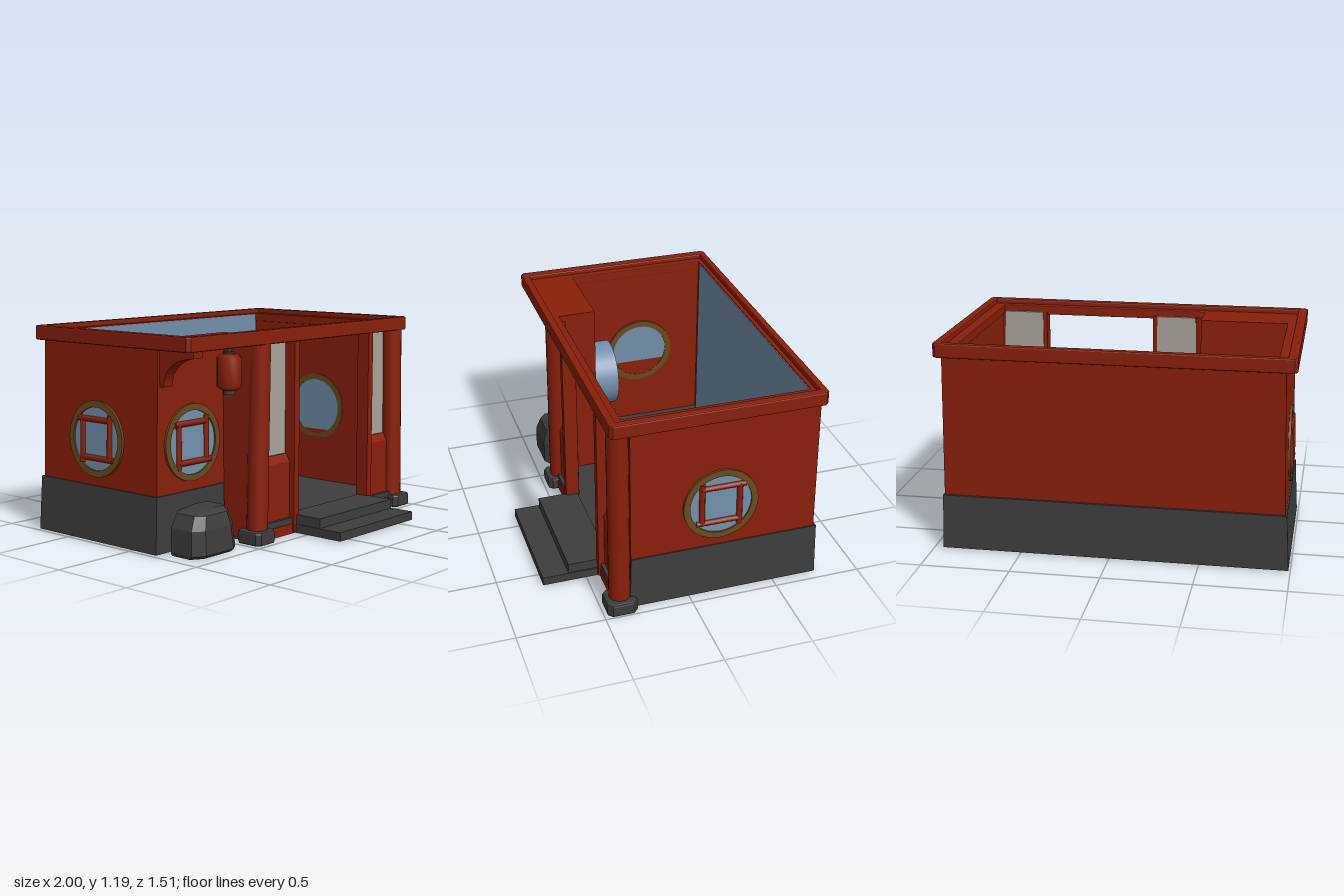
import * as THREE from 'three';

const mat = (name, color) => {
  const m = new THREE.MeshStandardMaterial({ color });
  m.name = name;
  return m;
};

export function createModel() {
  const root = new THREE.Group();
  root.name = 'shopGroundFloor';
  const red = mat('red wood', 0x8a1f09);
  const stone = mat('dark stone', 0x3d3d3d);
  const blue = mat('blue glass', 0x7390aa);
  const paper = mat('pale panel', 0xaaa29b);
  const gold = mat('bronze ring', 0x6b4a20);

  const add = (name, geo, material, parent = root) => {
    const mesh = new THREE.Mesh(geo, material);
    mesh.name = name;
    parent.add(mesh);
    return mesh;
  };

  // Block from a bottom rectangle to a top rectangle, each [x0, x1, z0, z1]
  const block = (name, m, y0, y1, bottom, top = bottom) => {
    const geo = new THREE.BoxGeometry(1, 1, 1).toNonIndexed();
    const p = geo.attributes.position;
    for (let i = 0; i < p.count; i++) {
      const up = p.getY(i) > 0;
      const r = up ? top : bottom;
      p.setXYZ(i, p.getX(i) > 0 ? r[1] : r[0], up ? y1 : y0, p.getZ(i) > 0 ? r[3] : r[2]);
    }
    geo.computeVertexNormals();
    return add(name, geo, m);
  };

  // Flat slab with cut corners and bevelled edges, optionally with a rectangular opening
  const slab = (name, m, y0, y1, [a, b, f, g], cut, bevel, hole) => {
    const points = list => list.map(([x, z]) => new THREE.Vector2(x, -z));
    const s = new THREE.Shape(points([[a, f + cut], [a, g - cut], [a + cut, g], [b - cut, g],
      [b, g - cut], [b, f + cut], [b - cut, f], [a + cut, f]]));
    if (hole) {
      const [c, d, h, k] = hole;
      s.holes.push(new THREE.Path(points([[c, h], [d, h], [d, k], [c, k]])));
    }
    const geo = new THREE.ExtrudeGeometry(s, {
      depth: y1 - y0 - 2 * bevel, bevelSize: bevel, bevelThickness: bevel, bevelOffset: -bevel, bevelSegments: 2,
    });
    add(name, geo.rotateX(-Math.PI / 2).translate(0, y0 + bevel, 0), m);
  };

  // Floor, with a recess for the porch at the front right corner of the shop
  block('floorMain', stone, 0.01, 0.1, [-0.95, 0.92, -0.73, 0.175]);
  block('floorFront', stone, 0.006, 0.1, [-0.42, 0.92, 0.175, 0.42]);

  // Leaning walls
  block('backWall', red, 0.1, 1.13, [-0.96, 0.93, -0.735, -0.69], [-0.94, 0.918, -0.73, -0.69]);
  block('rightWall', red, 0.1, 1.13, [-0.968, -0.9, -0.735, 0.175], [-0.94, -0.9, -0.73, 0.17]);
  block('leftWall', red, 0.1, 1.13, [0.86, 0.934, -0.735, 0.336], [0.86, 0.918, -0.73, 0.336]);
  block('porchWall', red, 0.1, 1.13, [-0.968, -0.39, 0.148, 0.18], [-0.94, -0.39, 0.148, 0.174]);
  block('porchSideWall', red, 0.02, 1.13, [-0.43, -0.39, 0.16, 0.4]);

  // Stone footing around the walls
  block('backFooting', stone, 0.01, 0.322, [-0.99, 0.945, -0.755, -0.7], [-0.972, 0.937, -0.748, -0.7]);
  block('rightFooting', stone, 0.01, 0.322, [-0.99, -0.91, -0.755, 0.195], [-0.972, -0.91, -0.748, 0.188]);
  block('leftFooting', stone, 0.01, 0.322, [0.87, 0.945, -0.755, 0.345], [0.87, 0.937, -0.748, 0.335]);
  block('porchFooting', stone, 0.01, 0.322, [-0.99, -0.44, 0.155, 0.195], [-0.972, -0.44, 0.155, 0.188]);

  // Blue lining of the back wall
  block('backLining', blue, 0.1, 1.16, [-0.868, 0.845, -0.69, -0.684]);

  // Top rim: a raised outer lip around an inner ledge
  slab('rimLip', red, 1.112, 1.193, [-1, 0.963, -0.755, 0.456], 0.018, 0.008, [-0.945, 0.915, -0.715, 0.41]);
  slab('rimLedge', red, 1.114, 1.165, [-0.98, 0.945, -0.74, 0.44], 0.018, 0.004, [-0.895, 0.855, -0.69, 0.365]);
  block('porchCeiling', red, 1.114, 1.165, [-0.94, -0.39, 0.148, 0.42]);

  // Leaning round columns on stone blocks
  for (const [top, bottom, foot] of [[0.885, 0.906, 0.918], [-0.37, -0.394, -0.402]]) {
    const geo = new THREE.CylinderGeometry(0.06, 0.06, 1.08, 20);
    const p = geo.attributes.position;
    for (let i = 0; i < p.count; i++)
      p.setX(i, p.getX(i) + (p.getY(i) > 0 ? top : bottom));
    add('column', geo.translate(0, 0.59, 0.395), red);
    slab('columnFoot', stone, 0.003, 0.08, [foot - 0.08, foot + 0.08, 0.31, 0.482], 0.025, 0.012);
  }

  // Door front: side panels and jambs
  for (const [x0, x1] of [[-0.345, -0.1], [0.61, 0.86]]) {
    block('sidePanelPaper', paper, 0.44, 1.13, [x0, x1, 0.347, 0.367]);
    block('sidePanelBase', red, 0.06, 0.425, [x0, x1, 0.347, 0.4]);
    block('sidePanelSill', red, 0.425, 0.47, [x0, x1, 0.347, 0.4], [x0, x1, 0.347, 0.375]);
    block('sidePanelFoot', red, 0.01, 0.065, [x0, x1, 0.347, 0.425]);
  }
  for (const [x0, x1] of [[-0.117, -0.073], [0.588, 0.633]])
    block('doorJamb', red, 0.02, 1.13, [x0, x1, 0.355, 0.435]);

  // Entrance steps
  block('upperStep', stone, 0.01, 0.115, [-0.095, 0.607, 0.366, 0.607], [-0.092, 0.605, 0.366, 0.604]);
  block('lowerStep', stone, 0.01, 0.06, [-0.1, 0.612, 0.37, 0.754]);

  // Round window: ring, glass and pinwheel lattice, facing +z
  const roundWindow = (x, z, turn, tilt, depth, glassDepth, flip) => {
    const g = new THREE.Group();
    g.name = 'roundWindow';
    const s = new THREE.Shape().absarc(0, 0, 0.214, 0, Math.PI * 2);
    s.holes.push(new THREE.Path().absarc(0, 0, 0.177, 0, Math.PI * 2));
    const frame = new THREE.ExtrudeGeometry(s, { depth, bevelEnabled: false, curveSegments: 24 });
    add('windowRing', frame.translate(0, 0, 0.012 - depth), gold, g);
    const glass = new THREE.CylinderGeometry(0.198, 0.198, glassDepth, 40);
    add('windowGlass', glass.rotateX(Math.PI / 2).translate(0, 0, 0.003 - glassDepth / 2), blue, g);
    for (let k = 0; k < 4; k++) {
      const bar = new THREE.CylinderGeometry(0.017, 0.017, 0.255, 10);
      bar.translate(0.108 * flip, 0.013, 0.004).rotateZ(k * Math.PI / 2);
      add('latticeBar', bar, red, g);
    }
    g.position.set(x, 0.585, z);
    g.rotation.set(tilt, turn, 0, 'YXZ');
    root.add(g);
  };
  roundWindow(-0.688, 0.178, 0, -0.006, 0.058, 0.21, 1);
  roundWindow(0.929, -0.172, Math.PI / 2, -0.02, 0.085, 0.075, -1);
  roundWindow(-0.957, -0.29, -Math.PI / 2, -0.027, 0.075, 0.062, 1);

  // Curved bracket under the porch corner
  const b = new THREE.Shape();
  b.moveTo(0, 0.91);
  b.lineTo(0.035, 0.91);
  b.quadraticCurveTo(0.05, 1.06, 0.255, 1.075);
  b.lineTo(0.255, 1.12);
  b.lineTo(0, 1.12);
  const bracket = new THREE.ExtrudeGeometry(b, { depth: 0.068, bevelEnabled: false, curveSegments: 8 });
  add('porchBracket', bracket.rotateY(-Math.PI / 2).translate(-0.86, 0, 0.165), red);

  // Hanging lantern
  const lantern = new THREE.Group();
  lantern.name = 'lantern';
  const profile = [[0, 0.87], [0.045, 0.87], [0.07, 0.89], [0.07, 1.045], [0.045, 1.068], [0, 1.068]];
  add('lanternBody', new THREE.LatheGeometry(profile.map(q => new THREE.Vector2(...q)), 12), red, lantern);
  for (const [y, h, r] of [[1.072, 0.014, 0.03], [1.095, 0.05, 0.012], [0.858, 0.026, 0.033]])
    add('lanternCap', new THREE.CylinderGeometry(r, r, h, 10).translate(0, y, 0), stone, lantern);
  lantern.position.set(-0.54, 0, 0.32);
  root.add(lantern);

  // Boulder: stacked boxy outlines, narrowing at the top
  const rows = [[0.003, -0.915, -0.575, 0.2, 0.415], [0.02, -0.92, -0.57, 0.19, 0.435],
    [0.155, -0.915, -0.59, 0.19, 0.43], [0.23, -0.875, -0.612, 0.2, 0.41], [0.255, -0.74, -0.63, 0.23, 0.375]];
  const pos = [], idx = [];
  const boxy = v => Math.sign(v) * Math.min(1, 1.05 * Math.abs(v) ** 0.55);
  for (const [y, x0, x1, z0, z1] of rows)
    for (let k = 0; k < 8; k++) {
      const a = (k + 0.5) * Math.PI / 4;
      pos.push((x0 + x1) / 2 + boxy(Math.cos(a)) * (x1 - x0) / 2, y,
        (z0 + z1) / 2 + boxy(Math.sin(a)) * (z1 - z0) / 2);
    }
  for (let r = 0; r < rows.length - 1; r++)
    for (let k = 0; k < 8; k++) {
      const a = r * 8 + k, c = r * 8 + (k + 1) % 8;
      idx.push(a, a + 8, c, c, a + 8, c + 8);
    }
  const last = (rows.length - 1) * 8;
  for (let k = 1; k < 7; k++) idx.push(0, k, k + 1, last, last + k + 1, last + k);
  const rock = new THREE.BufferGeometry();
  rock.setAttribute('position', new THREE.Float32BufferAttribute(pos, 3));
  rock.setIndex(idx);
  const flatRock = rock.toNonIndexed();
  flatRock.computeVertexNormals();
  add('boulder', flatRock, stone);

  return root;
}
